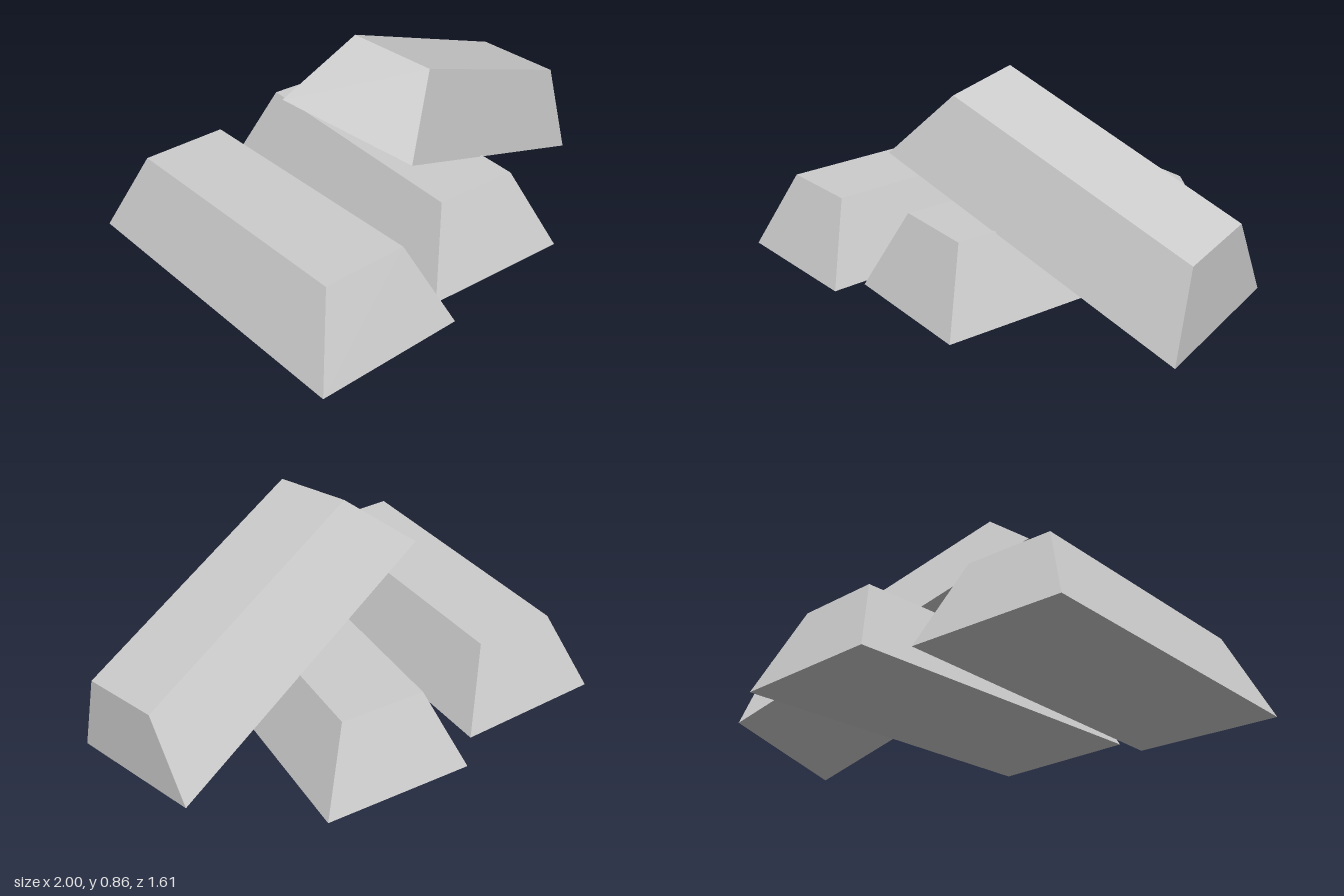
import * as THREE from 'three';

const BASE = [0.634, 1.437], TOP = [0.36, 1.157], HEIGHT = 0.33;

// Tapered bar standing on its own y = 0, long along z
function ingotGeometry() {
  const geometry = new THREE.BoxGeometry(BASE[0], HEIGHT, BASE[1]);
  geometry.translate(0, HEIGHT / 2, 0);
  const p = geometry.attributes.position;
  for (let i = 0; i < p.count; i++) {
    if (p.getY(i) > HEIGHT / 2) {
      p.setX(i, Math.sign(p.getX(i)) * TOP[0] / 2);
      p.setZ(i, Math.sign(p.getZ(i)) * TOP[1] / 2);
    }
  }
  geometry.computeVertexNormals();
  return geometry;
}

export function createModel() {
  const group = new THREE.Group();
  group.name = 'ingotPile';
  const geometry = ingotGeometry();
  const material = new THREE.MeshStandardMaterial({ color: 0xcccccc, flatShading: true });

  function addIngot(name, x, y, z) {
    const ingot = new THREE.Mesh(geometry, material);
    ingot.name = name;
    ingot.position.set(x, y, z);
    group.add(ingot);
    return ingot;
  }

  // Two bars lying flat, one slightly turned
  addIngot('middleIngot', 0.059, 0.015, -0.088);
  addIngot('rightIngot', -0.637, 0.015, 0.063).rotation.y = 0.066;

  // Third bar leaning across the middle one, oriented by its base edges
  const leaning = addIngot('leaningIngot', 0.2825, 0.32, -0.0275);
  const zAxis = new THREE.Vector3(-1.26, 0.555, 0.415).normalize();
  const yAxis = zAxis.clone().cross(new THREE.Vector3(0.165, -0.075, 0.61)).normalize();
  const xAxis = yAxis.clone().cross(zAxis);
  leaning.quaternion.setFromRotationMatrix(new THREE.Matrix4().makeBasis(xAxis, yAxis, zAxis));

  return group;
}
